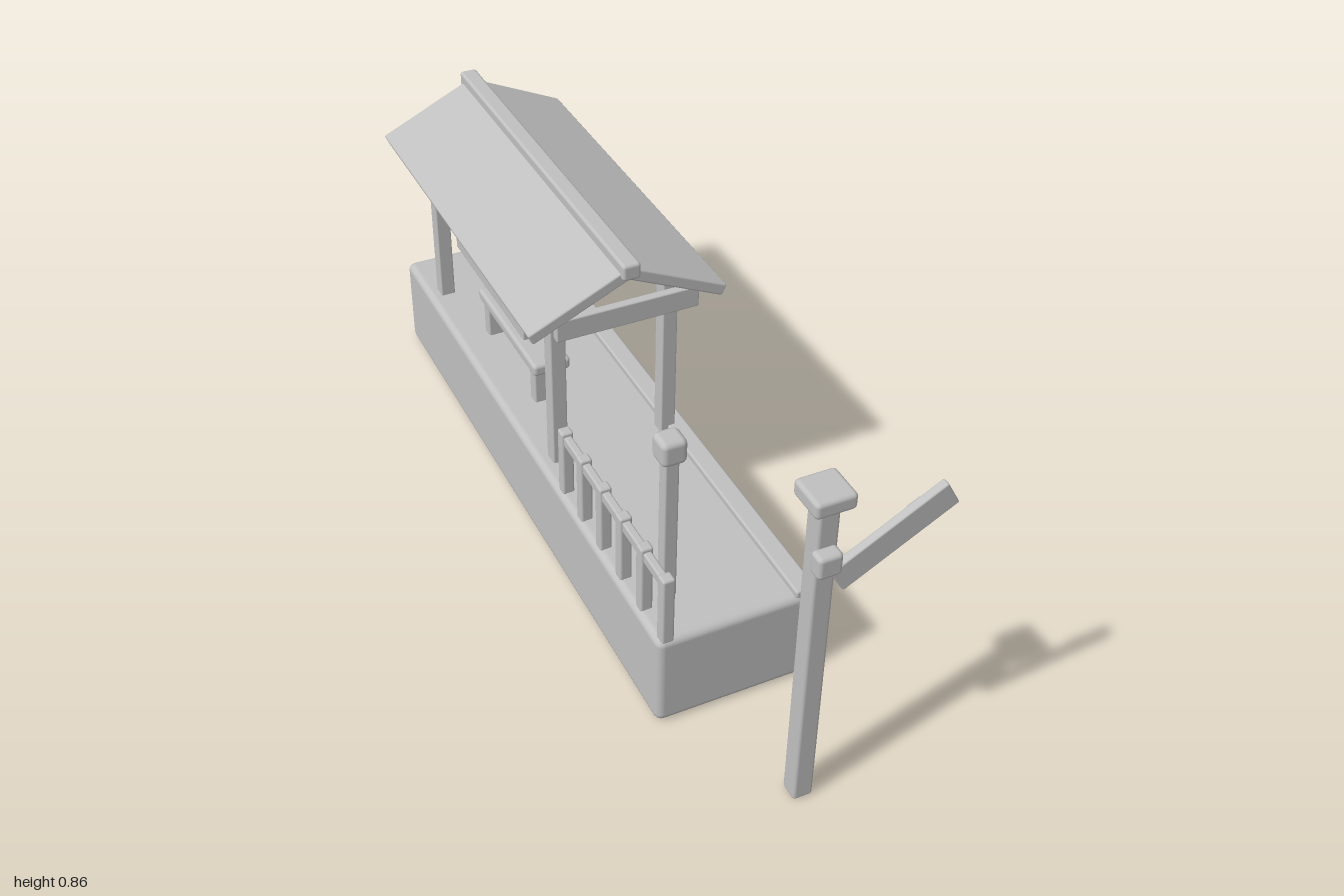
import * as THREE from 'three';
import { RoundedBoxGeometry } from 'three/addons/geometries/RoundedBoxGeometry.js';

export function createModel() {
  const model = new THREE.Group();
  model.name = 'stationPlatform';
  const grey = new THREE.MeshStandardMaterial({ color: 0xc0c0c0 });
  grey.name = 'plain grey';

  // Softened box given by its extents on each axis
  function box(name, [x0, x1], [y0, y1], [z0, z1], radius = 0.005, parent = model) {
    const w = x1 - x0, h = y1 - y0, d = z1 - z0;
    const r = Math.min(radius, w * 0.45, h * 0.45, d * 0.45);
    const mesh = new THREE.Mesh(new RoundedBoxGeometry(w, h, d, 2, r), grey);
    mesh.name = name;
    mesh.position.set((x0 + x1) / 2, (y0 + y1) / 2, (z0 + z1) / 2);
    parent.add(mesh);
    return mesh;
  }
  const around = (c, size) => [c - size / 2, c + size / 2];

  // Platform and its edge strip
  const deck = 0.252;
  box('platform', [-0.211, 0.183], [0, deck], [-1, 0.653], 0.02);
  box('edgeStrip', [0.13, 0.18], [0.246, 0.268], [-0.998, 0.651], 0.006);

  // Shelter posts
  for (const x of [-0.159, 0.13])
    for (const z of [-0.022, -0.818])
      box('shelterPost', around(x, 0.039), [deck - 0.005, 0.71], around(z, 0.041), 0.004);

  // Cross beams under both roof ends
  for (const z of [0.065, -0.907])
    box('crossBeam', [-0.193, 0.165], [0.668, 0.724], around(z, 0.022), 0.004);

  // Two roof slopes meeting at the ridge
  const ridgeX = -0.014, ridgeY = 0.824, run = 0.25, drop = 0.115, thick = 0.03;
  const slope = Math.hypot(run, drop);
  for (const side of [-1, 1]) {
    const slab = box('roofSlope', around(0, slope), around(0, thick), [-0.927, 0.079], 0.005);
    slab.position.x = ridgeX + side * (run / 2 - (drop / slope) * thick / 2);
    slab.position.y = ridgeY - drop / 2 - (run / slope) * thick / 2;
    slab.rotation.z = -side * Math.atan2(drop, run);
  }
  box('roofRidge', around(ridgeX, 0.045), [0.798, 0.84], [-0.945, 0.093], 0.008);

  // Bench
  box('benchSeat', [-0.135, -0.035], [0.345, 0.378], [-0.617, -0.225], 0.01);
  for (const z of [-0.26, -0.582])
    box('benchLeg', [-0.127, -0.043], [deck - 0.005, 0.35], around(z, 0.034), 0.005);

  // Plank board between the rear shelter posts
  for (let i = 0; i < 3; i++)
    box('boardPlank', around(-0.162, 0.022), [0.495 + i * 0.0383, 0.5333 + i * 0.0383], [-0.655, -0.19], 0.003);

  // Fence
  for (let i = 0; i < 6; i++)
    box('fencePost', around(-0.187, 0.03), [deck - 0.005, 0.432], around(0.638 - i * 0.108, 0.03), 0.006);
  box('fenceRail', around(-0.187, 0.02), [0.395, 0.423], [0.09, 0.648], 0.005);

  // Lamp
  box('lampPost', around(-0.123, 0.034), [deck - 0.005, 0.65], around(0.512, 0.032), 0.005);
  box('lampHead', around(-0.123, 0.061), [0.636, 0.7], around(0.512, 0.061), 0.014);

  // Signal mast with cap
  box('signalPost', around(-0.015, 0.048), [0, 0.84], around(0.945, 0.048), 0.008);
  box('signalCap', around(-0.015, 0.091), [0.824, 0.863], around(0.945, 0.091), 0.01);
  box('signalHub', around(-0.022, 0.055), [0.675, 0.73], [0.962, 1], 0.01);

  // Raised signal arm with a small band on its back
  const arm = new THREE.Group();
  arm.name = 'signalArm';
  arm.position.set(0.121, 0.721, 0.984);
  arm.rotation.z = THREE.MathUtils.degToRad(29);
  box('armBlade', around(0, 0.282), around(0, 0.066), around(0, 0.02), 0.004, arm);
  box('armBand', around(0.068, 0.035), [-0.039, 0.03], [-0.014, 0.004], 0.004, arm);
  model.add(arm);

  return model;
}
